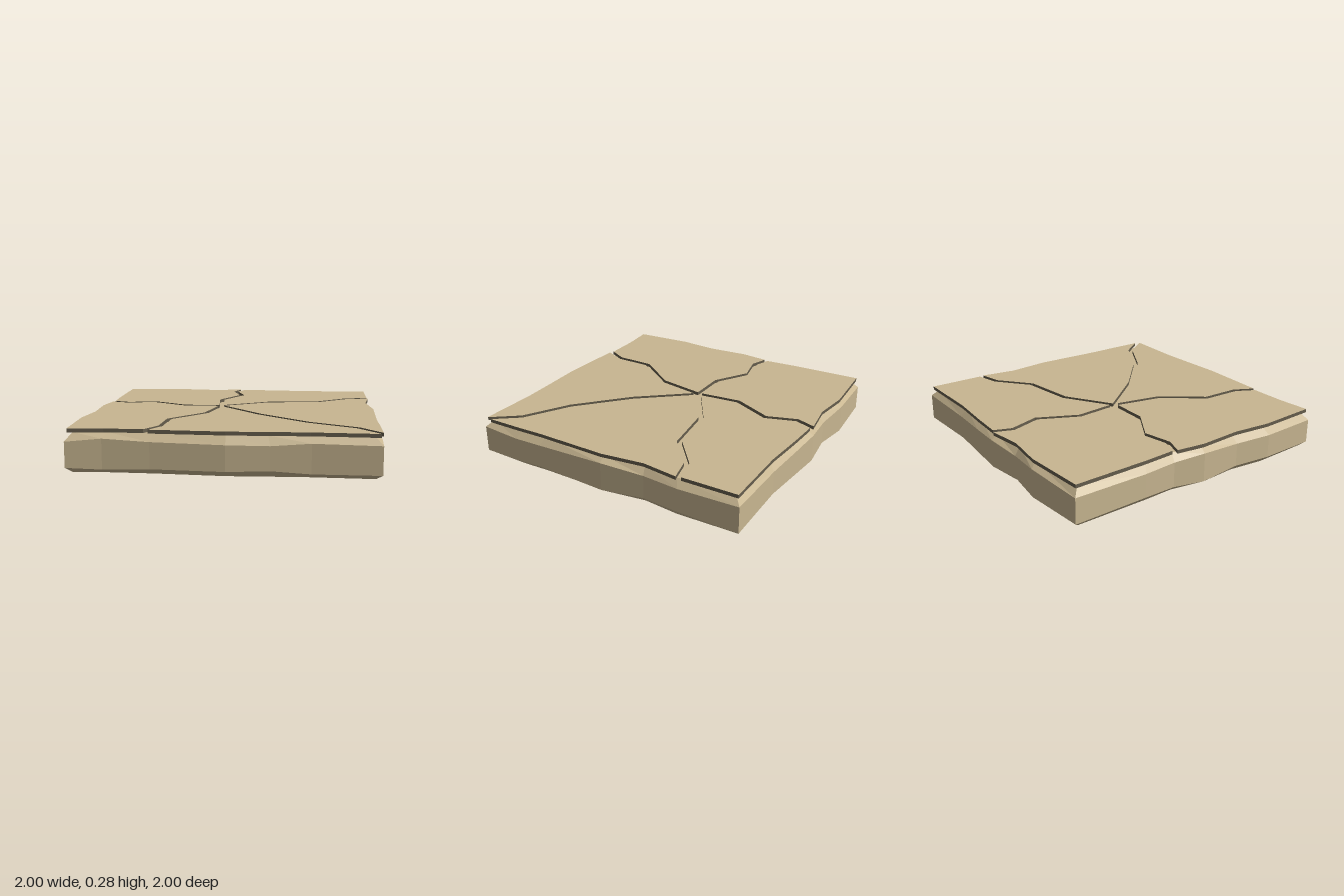
import * as THREE from 'three';

// Wavy slab outline, clockwise from above: x, z, lower bevel height, upper bevel height
const OUTLINE = [
  [-0.04, -1.0, 0.03, 0.22], [0.2, -0.985, 0.035, 0.21], [0.5, -0.965, 0.04, 0.2], [0.985, -0.975, 0.03, 0.21],
  [0.99, -0.56, 0.045, 0.205], [0.96, -0.3, 0.04, 0.2], [0.997, 0, 0.025, 0.22], [0.985, 0.5, 0.04, 0.2], [0.99, 0.7, 0.035, 0.2],
  [0.975, 0.985, 0.03, 0.21], [0.55, 0.975, 0.027, 0.215], [0.3, 0.985, 0.043, 0.197], [0.03, 0.998, 0.035, 0.2],
  [-0.44, 0.97, 0.035, 0.205], [-0.74, 0.965, 0.025, 0.22], [-0.97, 0.985, 0.035, 0.2],
  [-0.998, 0.57, 0.04, 0.2], [-0.975, 0.3, 0.04, 0.2], [-0.998, 0, 0.025, 0.22],
  [-0.965, -0.22, 0.035, 0.205], [-0.98, -0.45, 0.04, 0.2], [-0.997, -0.97, 0.035, 0.205],
  [-0.56, -1.0, 0.03, 0.22], [-0.3, -0.97, 0.04, 0.2],
];

// Cracks run from this point out to the edge
const CENTRE = [-0.115, -0.07];
const CRACK_HALF = 0.0165;
const CRACKS = [
  [[-0.145, -0.378], [-0.016, -0.65], [-0.085, -0.86], [-0.04, -0.985]],
  [[0.215, -0.28], [0.59, -0.335], [0.81, -0.52], [0.975, -0.56]],
  [[0.19, 0.3], [0.525, 0.6], [0.835, 0.775], [0.962, 0.94]],
  [[-0.18, 0.275], [-0.39, 0.555], [-0.395, 0.82], [-0.465, 0.957]],
  [[-0.39, -0.07], [-0.635, -0.215], [-0.835, -0.17], [-0.955, -0.21]],
];
// Outline points belonging to each plate: first index, last index
const EDGES = [[1, 3], [5, 8], [9, 12], [14, 18], [20, 23]];
const PLATE_SCALE = 0.985;

function createBody(material) {
  const n = OUTLINE.length;
  const pos = [];
  const index = [];
  // Four rings: inset foot, wall bottom, wall top, inset rim
  const rings = [[0.96, () => 0], [1, (p) => p[2]], [1, (p) => p[3]], [0.955, () => 0.254]];
  for (const [s, y] of rings) for (const p of OUTLINE) pos.push(p[0] * s, y(p), p[1] * s);
  pos.push(0, 0, 0, 0, 0.254, 0);
  for (let i = 0; i < n; i++) {
    const j = (i + 1) % n;
    for (let r = 0; r < 3; r++) {
      const a = r * n, b = a + n;
      index.push(a + i, b + i, b + j, a + i, b + j, a + j);
    }
    index.push(4 * n, i, j, 4 * n + 1, 3 * n + j, 3 * n + i);
  }
  let geo = new THREE.BufferGeometry();
  geo.setAttribute('position', new THREE.Float32BufferAttribute(pos, 3));
  geo.setIndex(index);
  geo = geo.toNonIndexed();
  geo.computeVertexNormals();
  const mesh = new THREE.Mesh(geo, material);
  mesh.name = 'slabBody';
  return mesh;
}

const toVec = (p) => new THREE.Vector2(p[0], p[1]);

// Crack line shifted sideways with mitred corners; side +1 is clockwise from above
function crackSide(crack, side) {
  const pts = [CENTRE, ...crack].map(toVec);
  const normal = (a, b) => {
    const d = b.clone().sub(a).normalize();
    return new THREE.Vector2(-d.y, d.x);
  };
  return pts.slice(1).map((p, k) => {
    const n1 = normal(pts[k], p);
    const n2 = pts[k + 2] ? normal(p, pts[k + 2]) : n1;
    const m = n1.clone().add(n2).normalize();
    return p.clone().addScaledVector(m, side * CRACK_HALF / m.dot(n1));
  });
}

// Inner tip of a plate, lying between two cracks
function plateTip(a, b) {
  const c = toVec(CENTRE);
  const da = toVec(a[0]).sub(c).normalize();
  const db = toVec(b[0]).sub(c).normalize();
  const half = Math.acos(da.dot(db)) / 2;
  return c.addScaledVector(da.add(db).normalize(), CRACK_HALF / Math.sin(half));
}

function createPlate(i, topMaterial, edgeMaterial) {
  const a = CRACKS[i];
  const b = CRACKS[(i + 1) % CRACKS.length];
  const [first, last] = EDGES[i];
  const rim = OUTLINE.slice(first, last + 1).map((p) => toVec(p).multiplyScalar(PLATE_SCALE));
  const points = [plateTip(a, b), ...crackSide(a, 1), ...rim, ...crackSide(b, -1).reverse()];
  const shape = new THREE.Shape(points.map((p) => new THREE.Vector2(p.x, -p.y)));
  const geo = new THREE.ExtrudeGeometry(shape, { depth: 0.024, bevelEnabled: false });
  geo.rotateX(-Math.PI / 2);
  geo.translate(0, 0.257, 0);
  // Pale top face, dark underside and edges
  const [caps, sides] = geo.groups.map((g) => ({ ...g }));
  geo.clearGroups();
  geo.addGroup(0, caps.count / 2, 1);
  geo.addGroup(caps.count / 2, caps.count / 2, 0);
  geo.addGroup(sides.start, sides.count, 1);
  const mesh = new THREE.Mesh(geo, [topMaterial, edgeMaterial]);
  mesh.name = 'crackedPlate' + (i + 1);
  return mesh;
}

export function createModel() {
  const stone = new THREE.MeshStandardMaterial({ color: 0xc8b691 });
  stone.name = 'sandstone';
  const dark = new THREE.MeshStandardMaterial({ color: 0x665e4d });
  dark.name = 'darkStone';

  const model = new THREE.Group();
  model.name = 'crackedStoneSlab';
  model.add(createBody(stone));
  const plates = new THREE.Group();
  plates.name = 'topPlates';
  CRACKS.forEach((_, i) => plates.add(createPlate(i, stone, dark)));
  model.add(plates);
  return model;
}
